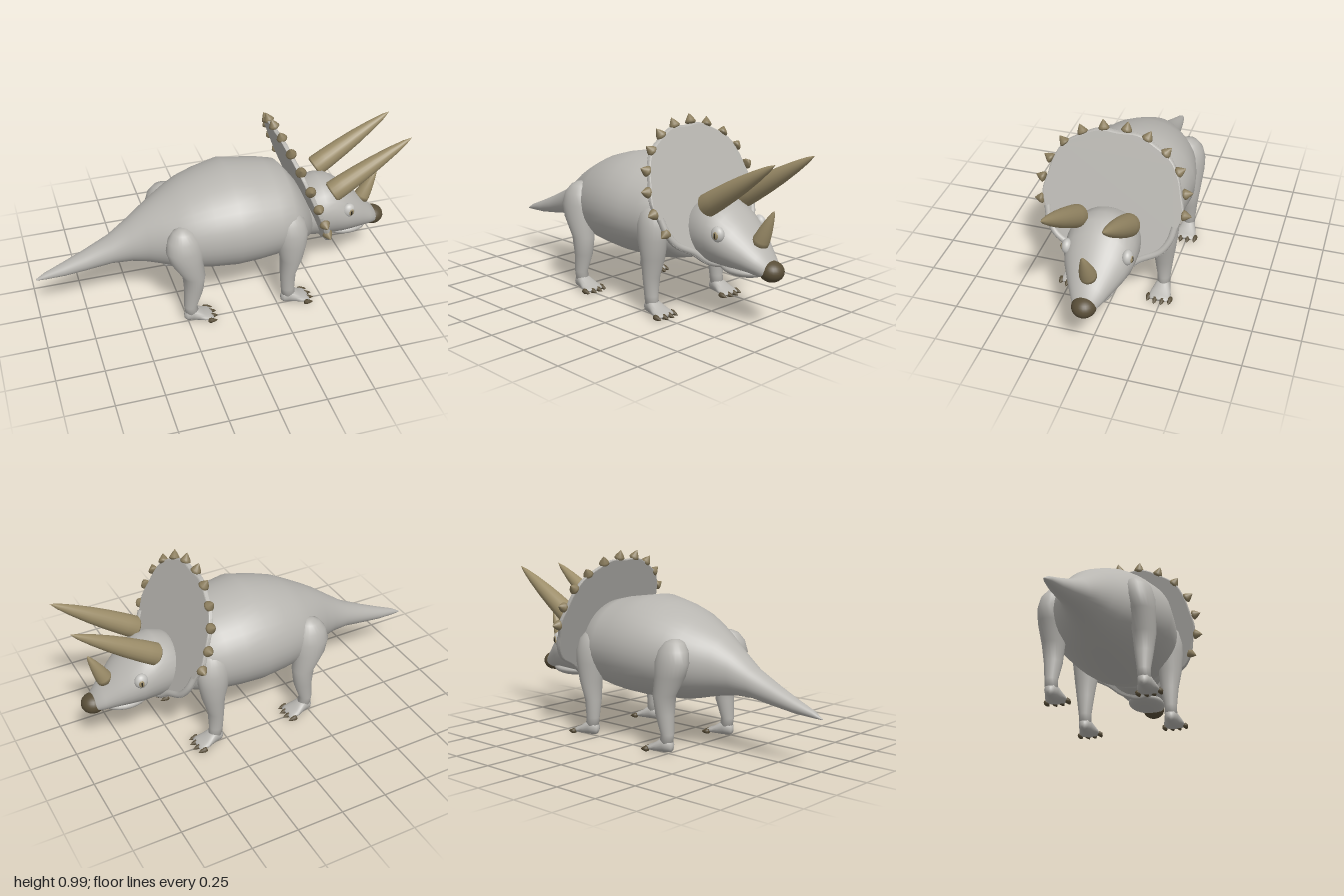
import * as THREE from 'three';

const mat = (name, color) => Object.assign(new THREE.MeshStandardMaterial({ color }), { name });

// Closed skin through rings of points, listed counter-clockwise about the direction of travel
function loft(rings) {
  const n = rings[0].length, pos = [], idx = [];
  rings.forEach(r => r.forEach(p => pos.push(...p)));
  const centre = r => [0, 1, 2].map(k => r.reduce((s, p) => s + p[k], 0) / n);
  pos.push(...centre(rings[0]), ...centre(rings.at(-1)));
  const first = n * rings.length, base = n * (rings.length - 1);
  for (let j = 0; j < n; j++) {
    const k = (j + 1) % n;
    for (let i = 0; i < rings.length - 1; i++) {
      const a = i * n + j, b = i * n + k;
      idx.push(a, b, a + n, b, b + n, a + n);
    }
    idx.push(first, k, j, first + 1, base + j, base + k);
  }
  const g = new THREE.BufferGeometry();
  g.setAttribute('position', new THREE.Float32BufferAttribute(pos, 3));
  g.setIndex(idx);
  g.computeVertexNormals();
  return g;
}
const around = (n, f) => Array.from({ length: n }, (_, j) => f(Math.cos(j / n * 2 * Math.PI), Math.sin(j / n * 2 * Math.PI)));
// Sections along x: [x, top, bottom, half width]
const loftX = (rows, n = 32, z = 0) => loft(rows.map(([x, t, b, w]) =>
  around(n, (c, s) => [x, (t + b) / 2 + (t - b) / 2 * c, z + w * s])));
// Sections along y: [y, x, x radius, z, z radius]
const loftY = (rows, n = 24) => loft(rows.map(([y, x, rx, z, rz]) =>
  around(n, (c, s) => [x + rx * s, y, z + rz * c])));

export function createModel() {
  const model = new THREE.Group();
  const skin = mat('grey skin', 0xb8b6b1), horn = mat('tan horn', 0x9c8d69);
  const spikeMat = mat('frill spike tan', 0x8c7e5e), dark = mat('dark beak', 0x594e38);
  const eyeMat = mat('pale eye', 0xc4c3bf), black = mat('pupil', 0x2a251c);

  const add = (name, geo, material, parent = model) => {
    const m = new THREE.Mesh(geo, material);
    m.name = name;
    parent.add(m);
    return m;
  };
  const ball = (name, material, p, r) => {
    const m = add(name, new THREE.SphereGeometry(1, 24, 16), material);
    m.position.set(...p);
    m.scale.set(...r);
    return m;
  };
  // Turned spike from a base point toward a tip; profile is [radius, fraction of length]
  const spike = (name, material, from, to, profile, sides = 20) => {
    const a = new THREE.Vector3(...from), d = new THREE.Vector3(...to).sub(a), len = d.length();
    const g = new THREE.LatheGeometry(profile.map(([r, t]) => new THREE.Vector2(r, t * len)), sides);
    const m = add(name, g, material);
    m.position.copy(a);
    m.quaternion.setFromUnitVectors(new THREE.Vector3(0, 1, 0), d.normalize());
    return m;
  };

  // Trunk and tail
  add('bodyAndTail', loftX([
    [-1, .262, .256, .004], [-.95, .293, .258, .02], [-.85, .335, .264, .038], [-.74, .385, .28, .055],
    [-.6, .455, .303, .078], [-.5, .53, .302, .108], [-.42, .59, .29, .145], [-.35, .632, .275, .19],
    [-.27, .675, .255, .24], [-.2, .71, .243, .272], [-.1, .742, .235, .3], [.03, .77, .23, .325],
    [.15, .753, .233, .313], [.25, .738, .243, .3], [.33, .72, .255, .28], [.38, .66, .27, .25], [.46, .55, .29, .17],
  ], 40), skin);

  // Legs, feet and claws
  const legs = {
    front: [[.05, .315, .037, .24, .033], [.1, .308, .037, .24, .034], [.2, .306, .042, .238, .048],
      [.3, .32, .06, .24, .062], [.4, .318, .082, .242, .07], [.47, .315, .09, .235, .075],
      [.53, .31, .078, .225, .07], [.565, .31, .05, .215, .05], [.58, .31, .02, .21, .02]],
    hind: [[.05, -.225, .037, .24, .033], [.1, -.234, .035, .24, .034], [.2, -.215, .05, .238, .048],
      [.3, -.213, .06, .24, .06], [.4, -.25, .085, .24, .068], [.47, -.258, .097, .235, .073],
      [.53, -.26, .082, .225, .068], [.57, -.26, .052, .215, .048], [.585, -.26, .02, .21, .02]],
  };
  for (const [which, rows] of Object.entries(legs)) for (const s of [1, -1]) {
    const side = s > 0 ? 'Left' : 'Right', x0 = rows[0][1];
    add(which + 'Leg' + side, loftY(rows.map(([y, x, rx, z, rz]) => [y, x, rx, z * s, rz])), skin);
    add(which + 'Foot' + side, loftX([
      [-.042, .055, .02, .012], [-.03, .075, .01, .028], [0, .09, .005, .036],
      [.03, .073, .004, .045], [.06, .05, .005, .055], [.09, .038, .007, .056], [.108, .028, .012, .045],
    ].map(([x, ...r]) => [x0 + x, ...r]), 20, .24 * s), skin);
    for (let i = 0; i < 4; i++) {
      const z = .24 * s + (i - 1.5) * .038, x = x0 + (i % 3 ? .098 : .085);
      spike(which + 'Claw' + side, dark, [x - .012, .02, z], [x + .04, .012, z],
        [[0, 0], [.012, .05], [.014, .3], [.008, .7], [0, 1]], 12);
    }
  }

  // Neck frill: a scalloped plate leaning back
  const lean = y => .66 - .39 * y;
  const half = [[0, .935], [.1, .937], [.19, .898], [.275, .845], [.32, .77], [.343, .69], [.362, .61],
    [.34, .53], [.322, .46], [.28, .4], [.18, .345], [.1, .287], [0, .262]];
  const outline = [...half, ...half.slice(1, -1).reverse().map(([z, y]) => [-z, y])];
  const edge = new THREE.CatmullRomCurve3(outline.map(([z, y]) => new THREE.Vector3(z, y, 0)), true);
  const frill = new THREE.ExtrudeGeometry(
    new THREE.Shape(edge.getPoints(96).slice(0, -1).map(p => new THREE.Vector2(p.x, p.y))),
    { depth: .012, bevelSize: .006, bevelThickness: .006, bevelOffset: -.006, bevelSegments: 2 });
  frill.rotateY(Math.PI / 2);
  const fp = frill.attributes.position;
  for (let i = 0; i < fp.count; i++) fp.setX(i, fp.getX(i) + lean(fp.getY(i)));
  frill.computeVertexNormals();
  add('frill', frill, skin);

  // Rolled lower rim of the frill
  const rim = half.slice(7).map(([z, y]) => [z - (z > 0 ? .012 : 0), y + .012]);
  const rimPath = [...rim, ...rim.slice(0, -1).reverse().map(([z, y]) => [-z, y])]
    .map(([z, y]) => new THREE.Vector3(lean(y) + .012, y, z));
  add('frillRim', new THREE.TubeGeometry(new THREE.CatmullRomCurve3(rimPath), 60, .017, 12), skin);

  // Spikes around the frill
  const spots = [[.32, .47], [.365, .567], [.368, .67], [.337, .765], [.272, .85], [.185, .912], [.078, .947],
    [-.038, .953], [-.146, .928], [-.245, .873], [-.32, .797], [-.365, .7], [-.37, .6]];
  for (const [z, y] of spots) {
    const l = Math.hypot(z, y - .6), dz = z / l, dy = (y - .6) / l;
    const at = t => [lean(y + dy * t) + .01, y + dy * t, z + dz * t];
    spike('frillSpike', spikeMat, at(-.015), at(.036),
      [[0, 0], [.02, .02], [.028, .15], [.024, .35], [.012, .7], [0, 1]], 14);
  }

  // Head, lower jaw and beak
  add('head', loftX([
    [.4, .55, .32, .13], [.47, .6, .285, .165], [.54, .62, .28, .178], [.6, .612, .28, .181], [.66, .572, .28, .174],
    [.72, .522, .28, .152], [.78, .463, .277, .12], [.84, .4, .272, .086], [.89, .35, .27, .055],
  ]), skin);
  ball('lowerJaw', skin, [.71, .287, 0], [.13, .038, .1]);
  ball('beak', dark, [.882, .307, 0], [.062, .052, .061]);

  // Horns
  const browProfile = [[0, 0], [.05, 0], [.058, .02], [.056, .15], [.05, .35], [.041, .55], [.028, .75], [.014, .91], [0, 1]];
  for (const s of [1, -1]) {
    const side = s > 0 ? 'Left' : 'Right';
    spike('browHorn' + side, horn, [.573, .593, .13 * s], [1, .865, .143 * s], browProfile);
    ball('eye' + side, eyeMat, [.67, .475, .152 * s], [.036, .04, .028]);
    ball('iris' + side, horn, [.676, .474, .174 * s], [.016, .02, .008]);
    ball('pupil' + side, black, [.677, .474, .178 * s], [.005, .015, .006]);
    ball('nostril' + side, dark, [.825, .36, .077 * s], [.011, .013, .008]);
  }
  spike('noseHorn', horn, [.805, .43, 0], [.887, .605, 0],
    [[0, 0], [.042, 0], [.042, .12], [.034, .38], [.023, .65], [.01, .9], [0, 1]]);

  return model;
}
